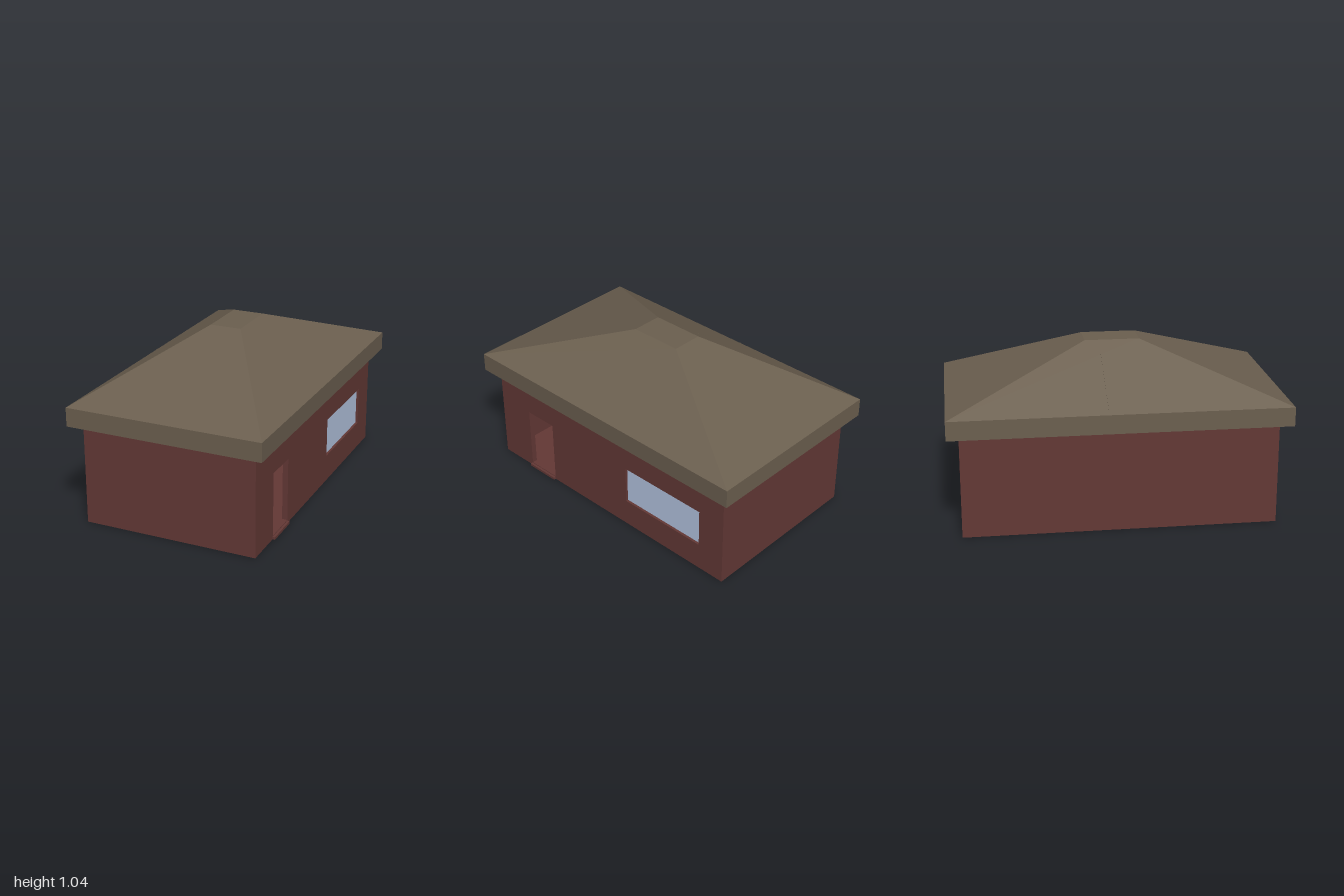
import * as THREE from 'three';

const material = (color) => new THREE.MeshStandardMaterial({ color, flatShading: true });
const brick = material(0x633835);
const shingle = material(0x6b5f4f);
const pane = material(0xb4c4e0);

const X = 0.532, Z = 0.928, WALL_TOP = 0.617; // outer half sizes and height of the walls
const T = 0.033;                              // wall thickness

export function createModel() {
  const house = new THREE.Group();
  house.name = 'house';

  const add = (name, geometry, mat) => {
    const mesh = new THREE.Mesh(geometry, mat);
    mesh.name = name;
    house.add(mesh);
    return mesh;
  };
  // Box given by its min and max corners
  const block = (name, mat, [x0, y0, z0], [x1, y1, z1]) => {
    const mesh = add(name, new THREE.BoxGeometry(x1 - x0, y1 - y0, z1 - z0), mat);
    mesh.position.set((x0 + x1) / 2, (y0 + y1) / 2, (z0 + z1) / 2);
    return mesh;
  };
  // Rectangle outline on the entrance wall, where u = -z
  const rect = (Type, u0, v0, u1, v1) => {
    const path = new Type();
    path.moveTo(u0, v0).lineTo(u1, v0).lineTo(u1, v1).lineTo(u0, v1).closePath();
    return path;
  };

  // Entrance wall with door and window openings
  const outline = rect(THREE.Shape, -Z, 0, Z, WALL_TOP);
  outline.holes.push(
    rect(THREE.Path, -0.68, 0.02, -0.465, 0.41),
    rect(THREE.Path, 0.168, 0.17, 0.75, 0.41)
  );
  const entrance = new THREE.ExtrudeGeometry(outline, { depth: T, bevelEnabled: false });
  entrance.rotateY(Math.PI / 2).translate(X - T, 0, 0);
  add('entranceWall', entrance, brick);

  // Plain walls and floor
  block('sideWall', brick, [-X, 0, -Z], [-X + T, WALL_TOP, Z]);
  for (const [name, z] of [['frontWall', Z - T], ['backWall', -Z]]) {
    block(name, brick, [-X + T, 0, z], [X - T, WALL_TOP, z + T]);
  }
  block('floor', brick, [-X + T, 0, -Z + T], [X - T, 0.018, Z - T]);

  // Doorstep and recessed window glass
  block('doorstep', brick, [X, 0, 0.465], [X + 0.015, 0.016, 0.685]);
  block('windowGlass', pane, [X - 0.026, 0.17, -0.75], [X - 0.015, 0.41, -0.168]);

  // Roof: straight eaves, then four slopes narrowing to a small flat top
  const roof = new THREE.BoxGeometry(1.194, 2, 2, 1, 2, 1);
  const p = roof.attributes.position;
  for (let i = 0; i < p.count; i++) {
    const level = Math.round(p.getY(i)) + 1;
    p.setY(i, [WALL_TOP, 0.731, 1.037][level]);
    if (level === 2) {
      p.setX(i, Math.sign(p.getX(i)) * 0.096);
      p.setZ(i, Math.sign(p.getZ(i)) * 0.163);
    }
  }
  const roofFlat = roof.toNonIndexed();
  roofFlat.computeVertexNormals();
  add('roof', roofFlat, shingle);

  // Fine seam running up one slope from the eaves
  const rise = 0.306 / 0.501;
  const seam = add('roofSeam', new THREE.BoxGeometry(0.4 * Math.hypot(1, rise), 0.004, 0.004), shingle);
  seam.position.set(-0.396, 0.731 + 0.201 * rise, -0.077);
  seam.rotation.z = Math.atan(rise);

  return house;
}
